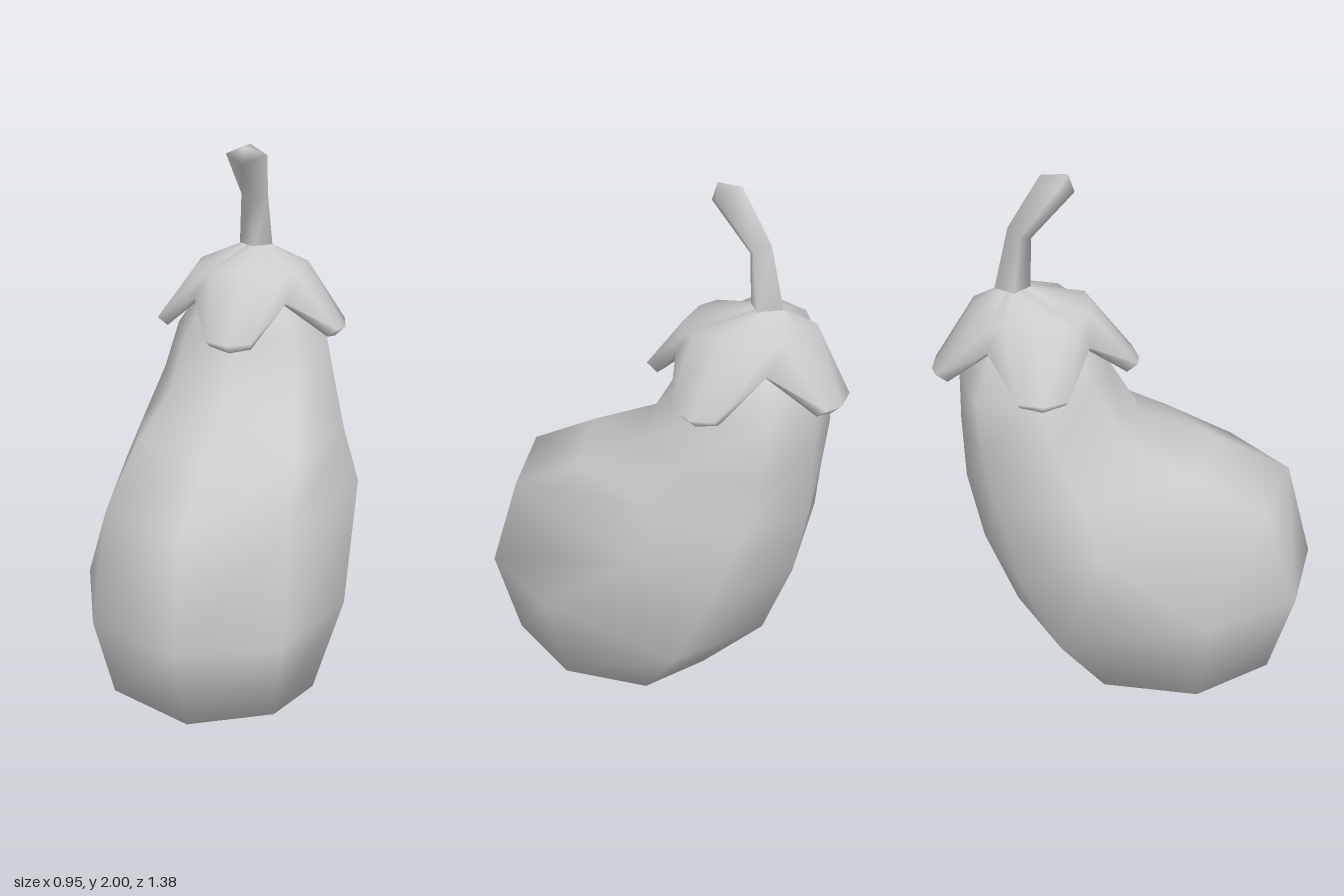
import * as THREE from 'three';
import { mergeVertices } from 'three/addons/utils/BufferGeometryUtils.js';

const material = new THREE.MeshStandardMaterial({ color: 0xcccccc });

// Skins a stack of closed rings (bottom to top) with smooth normals.
// Rings run from the front (+z) towards +x.
function loft(rings) {
  const n = rings[0].length;
  const index = [];
  for (let i = 0; i < rings.length - 1; i++) {
    for (let j = 0; j < n; j++) {
      const k = (j + 1) % n;
      const a = i * n + j, b = i * n + k, c = a + n, d = b + n;
      index.push(a, b, d, a, d, c);
    }
  }
  const geometry = new THREE.BufferGeometry();
  geometry.setAttribute('position', new THREE.Float32BufferAttribute(rings.flat(2), 3));
  geometry.setIndex(index);
  const merged = mergeVertices(geometry, 1e-4);
  merged.computeVertexNormals();
  return merged;
}

// Completes a ring from its +x half, listed front to back.
function mirrorRing(half) {
  const otherSide = half.slice(1, -1).reverse().map(([x, y, z]) => [-x, y, z]);
  return [...half, ...otherSide];
}

// A ring collapsed to one point, closing an end.
const pole = (count, y, z) => Array.from({ length: count }, () => [0, y, z]);

// One calyx ring of four petals: tip, corner and notch as [outward, sideways, y].
function calyxRing(centreZ, tip, corner, notch) {
  const [out, side, y] = corner;
  const points = [tip, corner, notch, [side, out, y]];
  const ring = [];
  for (let q = 0; q < 4; q++) {
    const s = Math.sin((q * Math.PI) / 2), c = Math.cos((q * Math.PI) / 2);
    for (const [o, w, h] of points) ring.push([o * s + w * c, h, centreZ + o * c - w * s]);
  }
  return ring;
}

function addPart(group, name, geometry) {
  const mesh = new THREE.Mesh(geometry, material);
  mesh.name = name;
  group.add(mesh);
}

export function createModel() {
  const model = new THREE.Group();
  model.name = 'eggplant';

  // Fruit: leaning rings given by front, front corner, side, back corner, back
  const fruit = [
    [[0, 0.14, 0.55], [0.29, 0.18, 0.47], [0.37, 0.135, 0.19], [0.335, 0.19, -0.15], [0, 0.1, -0.19]],
    [[0, 0.49, 0.685], [0.33, 0.49, 0.55], [0.475, 0.5, 0.2], [0.39, 0.41, -0.305], [0, 0.37, -0.44]],
    [[0, 0.86, 0.585], [0.315, 0.855, 0.43], [0.452, 0.81, -0.17], [0.38, 0.705, -0.44], [0, 0.66, -0.55]],
    [[0, 1.02, 0.3], [0.29, 1.01, 0.165], [0.385, 0.99, -0.22], [0.285, 0.94, -0.5], [0, 0.92, -0.6]],
    [[0, 1.13, 0.04], [0.235, 1.14, -0.06], [0.33, 1.15, -0.3], [0.245, 1.14, -0.54], [0, 1.15, -0.605]],
    [[0, 1.33, -0.08], [0.2, 1.33, -0.155], [0.285, 1.32, -0.34], [0.225, 1.31, -0.55], [0, 1.32, -0.6]],
    [[0, 1.46, -0.15], [0.135, 1.46, -0.21], [0.19, 1.46, -0.35], [0.14, 1.46, -0.49], [0, 1.46, -0.54]],
  ].map(mirrorRing);
  addPart(model, 'fruit', loft([pole(8, 0, 0.2), ...fruit, pole(8, 1.54, -0.35)]));

  // Calyx: underside, rim, shoulder, then a collar under the stem
  const calyx = [
    calyxRing(-0.335, [0.16, 0, 1.53], [0.15, 0.07, 1.52], [0.11, 0.11, 1.5]),
    calyxRing(-0.335, [0.32, 0, 1.31], [0.305, 0.075, 1.325], [0.155, 0.155, 1.455]),
    calyxRing(-0.335, [0.357, 0, 1.345], [0.342, 0.083, 1.355], [0.17, 0.17, 1.465]),
    calyxRing(-0.345, [0.195, 0, 1.572], [0.19, 0.105, 1.558], [0.15, 0.15, 1.535]),
    calyxRing(-0.405, [0.056, 0, 1.625], [0.045, 0.015, 1.625], [0.028, 0.028, 1.625]),
  ];
  addPart(model, 'calyx', loft(calyx));

  // Stem: four-sided, bent forward, widening to a slanted end
  const stem = [
    [[0, 1.61, -0.345], [0.063, 1.61, -0.405], [0, 1.61, -0.468]],
    [[0, 1.79, -0.337], [0.05, 1.81, -0.375], [0, 1.83, -0.412]],
    [[0, 1.94, -0.19], [0.075, 1.97, -0.25], [0, 2, -0.3]],
  ].map(mirrorRing);
  addPart(model, 'stem', loft([...stem, pole(4, 2, -0.21)]));

  return model;
}
